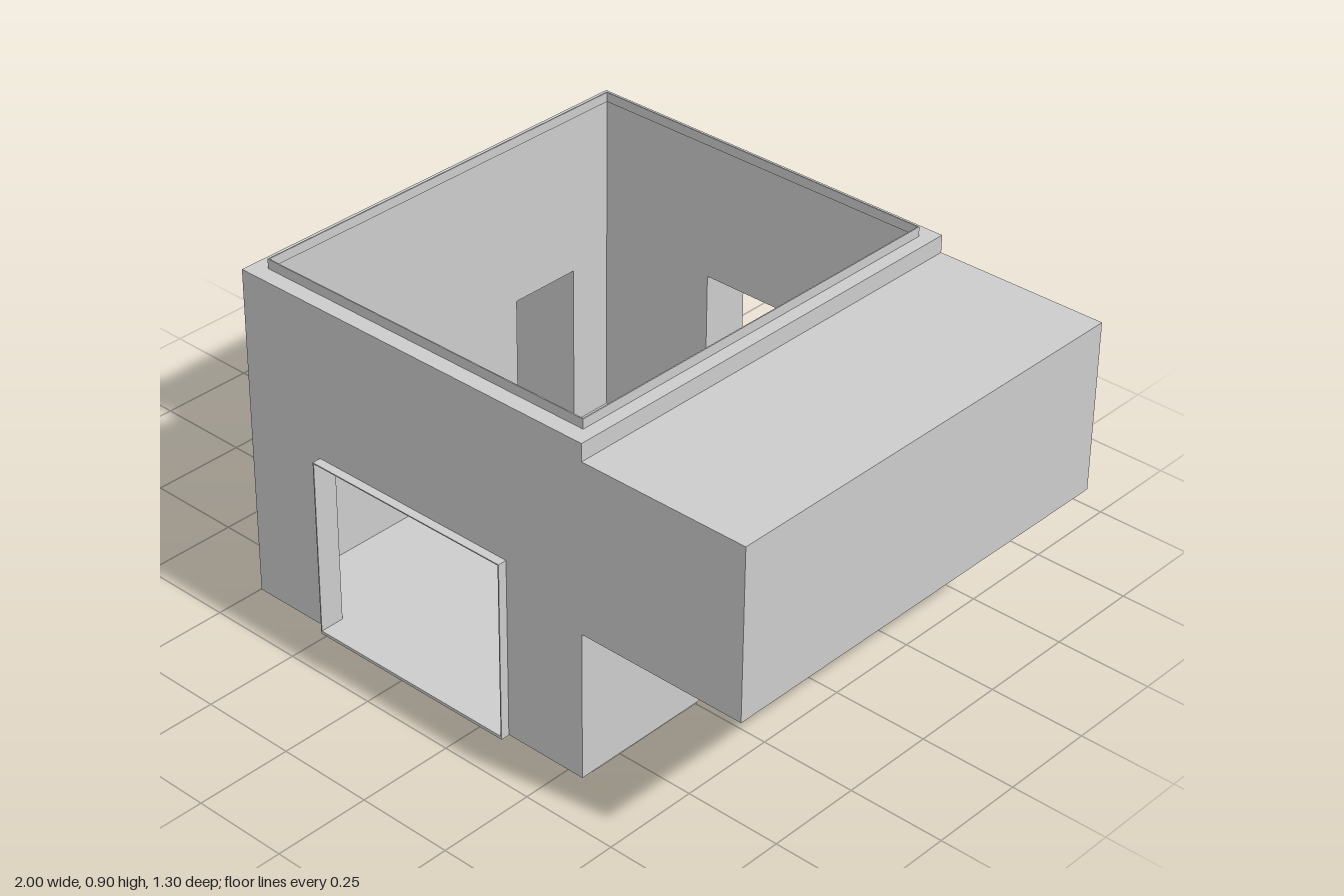
import * as THREE from 'three';

const plaster = new THREE.MeshStandardMaterial({ color: 0xcccccc, side: THREE.DoubleSide });
plaster.name = 'plaster grey';

function add(parent, name, geometry) {
  const mesh = new THREE.Mesh(geometry, plaster);
  mesh.name = name;
  parent.add(mesh);
  return mesh;
}

// Box given by its two opposite corners
function block(parent, name, x0, x1, y0, y1, z0, z1) {
  const g = new THREE.BoxGeometry(x1 - x0, y1 - y0, z1 - z0);
  g.translate((x0 + x1) / 2, (y0 + y1) / 2, (z0 + z1) / 2);
  return add(parent, name, g);
}

const points = (list) => list.map(([a, b]) => new THREE.Vector2(a, b));
const rect = (a0, a1, b0, b1) => [[a0, b0], [a1, b0], [a1, b1], [a0, b1]];

// Extruded outline with one optional rectangular opening
function slab(outline, depth, opening) {
  const shape = new THREE.Shape(points(outline));
  if (opening) shape.holes.push(new THREE.Path(points(rect(...opening)).reverse()));
  return new THREE.ExtrudeGeometry(shape, { depth, bevelEnabled: false });
}

// Plan outline given as x, z and raised from y0 to y1
function planSlab(outline, y0, y1) {
  return slab(outline.map(([x, z]) => [x, -z]), y1 - y0).rotateX(-Math.PI / 2).translate(0, y0, 0);
}

export function createModel() {
  const model = new THREE.Group();
  model.name = 'roofless room';

  // Main room with the raised bay open to it
  const room = new THREE.Group();
  room.name = 'room';
  model.add(room);
  const profile = [[-0.49, 0.008], [0.55, 0.008], [0.55, 0.395], [1, 0.395],
    [1, 0.835], [0.55, 0.835], [0.55, 0.88], [-0.49, 0.88]];
  add(room, 'frontWall', slab(profile, 0.042, [-0.26, 0.325, 0.015, 0.48]).translate(0, 0, 0.585));
  add(room, 'backWall', slab(profile, 0.04, [-0.12, 0.185, 0.015, 0.525]).translate(0, 0, -0.56));
  add(room, 'rightWall', slab(rect(-0.52, 0.585, 0.008, 0.88), 0.04, [-0.4, -0.2, 0.015, 0.455])
    .rotateY(-Math.PI / 2).translate(-0.45, 0, 0));
  block(room, 'leftWallBelowBay', 0.515, 0.55, 0.008, 0.395, -0.52, 0.585);
  block(room, 'leftWallAboveBay', 0.515, 0.55, 0.8, 0.88, -0.52, 0.585);
  block(room, 'floor', -0.45, 0.515, 0.008, 0.015, -0.52, 0.585);
  block(room, 'bayFloor', 0.515, 0.965, 0.395, 0.42, -0.52, 0.585);
  block(room, 'bayRoof', 0.55, 0.965, 0.8, 0.835, -0.52, 0.585);
  block(room, 'bayOuterWall', 0.965, 1, 0.395, 0.835, -0.52, 0.585);

  // Thin upright lip around the open top
  const lip = slab(rect(-0.45, 0.515, -0.585, 0.52), 0.025, [-0.447, 0.512, -0.582, 0.517]);
  add(room, 'topLip', lip.rotateX(-Math.PI / 2).translate(0, 0.88, 0));

  // Doorway linings that stand out from the walls
  const t = 0.003;
  add(model, 'frontDoorLining', slab(rect(-0.26, 0.325, 0.007, 0.48), 0.065,
    [-0.26 + t, 0.325 - t, 0.015, 0.48 - t]).translate(0, 0, 0.585));
  add(model, 'backDoorLining', slab(rect(-0.12, 0.185, 0.012, 0.525), 0.135,
    [-0.12 + t, 0.185 - t, 0.016, 0.525 - t]).translate(0, 0, -0.655));

  // L-shaped annex reached through the right wall
  const annex = new THREE.Group();
  annex.name = 'annex';
  model.add(annex);
  const plan = [[-0.49, -0.435], [-0.99, -0.435], [-0.99, 0.195], [-0.58, 0.195],
    [-0.58, -0.17], [-0.49, -0.17]];
  add(annex, 'annexFloor', planSlab(plan, 0.008, 0.015));
  add(annex, 'annexRoof', planSlab(plan, 0.455, 0.47));
  const inner = [[-0.49, -0.2], [-0.61, -0.2], [-0.61, 0.165], [-0.96, 0.165],
    [-0.96, -0.4], [-0.49, -0.4]];
  add(annex, 'annexWalls', planSlab([...plan, ...inner], 0.015, 0.455));

  // Low skirting outside the annex
  block(annex, 'rightSkirting', -1, -0.99, 0.012, 0.058, -0.445, 0.17);
  block(annex, 'backSkirting', -1, -0.92, 0.012, 0.058, -0.445, -0.435);
  block(annex, 'leftSkirting', -0.58, -0.57, 0.012, 0.058, -0.165, 0.17);

  // Thin pads underneath
  block(model, 'roomPad', 0.285, 0.545, 0, 0.008, 0.245, 0.59);
  block(model, 'annexPad', -0.88, -0.57, 0, 0.008, -0.435, -0.14);
  return model;
}
